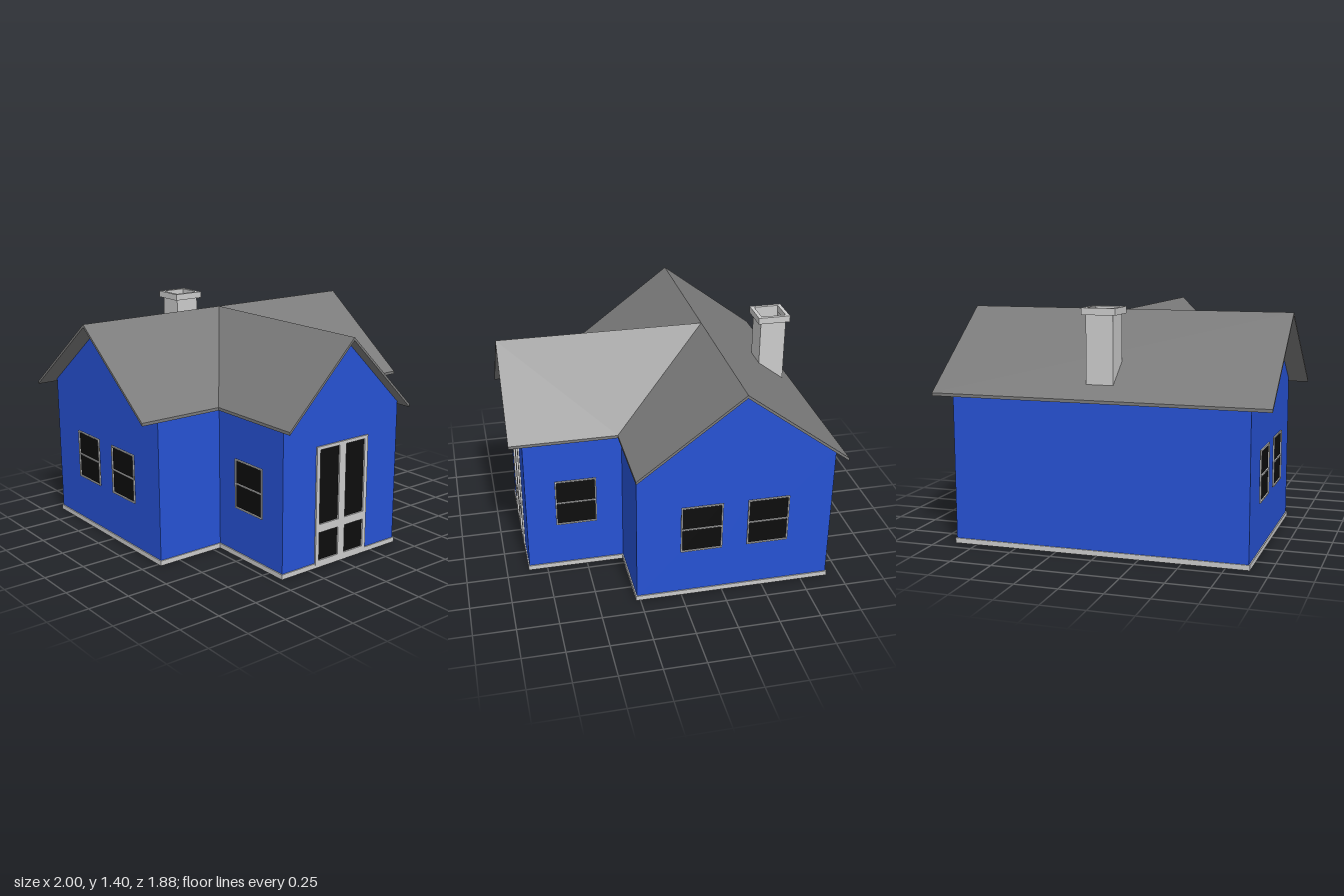
import * as THREE from 'three';

const paint = (color, side = THREE.FrontSide) =>
  new THREE.MeshStandardMaterial({ color, side, flatShading: true });

const RIDGE_Y = 1.365, RIDGE_Z = -0.322, EAVE_Z = 0.295, WING_EAVE_X = 0.467;
const HALF_W = 0.88, WING_W = 0.445, FRONT_Z = 0.27, BACK_Z = -0.91, WING_Z = 0.86;
const ROOF_T = 0.018, FLOOR_Y = 0.01;

// Roof heights
const mainRoof = (x, z) => RIDGE_Y - 0.754 * Math.abs(z - RIDGE_Z);
const wingRoof = (x) => RIDGE_Y - 0.996 * Math.abs(x);

const poly = (pts, Type = THREE.Shape) => new Type(pts.map(([x, y]) => new THREE.Vector2(x, y)));
const rect = (x0, y0, x1, y1) => [[x0, y0], [x1, y0], [x1, y1], [x0, y1]];

function shapeWithHoles(outline, holes = []) {
  const s = poly(outline);
  holes.forEach((h) => s.holes.push(poly(h, THREE.Path)));
  return s;
}

const extrude = (shape, depth) =>
  new THREE.ExtrudeGeometry(shape, { depth, bevelEnabled: false });

// Extrude a plan outline given as [x, z] upward
function extrudePlan(outline, holes, height) {
  const flip = (pts) => pts.map(([x, z]) => [x, -z]);
  return extrude(shapeWithHoles(flip(outline), holes.map(flip)), height).rotateX(-Math.PI / 2);
}

export function createModel() {
  const house = new THREE.Group();
  const blue = paint(0x2652d4, THREE.DoubleSide);
  const slate = paint(0x7a7a7a, THREE.DoubleSide);
  const grey = paint(0xcccccc, THREE.DoubleSide);
  const black = paint(0x0d0d0d, THREE.DoubleSide);

  const add = (name, geometry, material, parent = house) => {
    const mesh = new THREE.Mesh(geometry, material);
    mesh.name = name;
    parent.add(mesh);
    return mesh;
  };

  // Window openings: [z centre], all share one size
  const winW = 0.25, winY0 = 0.31, winY1 = 0.615, bar = 0.008;
  const opening = (z) => rect(-z - winW / 2, winY0, -z + winW / 2, winY1);

  function addWindow(side, wallX, z) {
    const g = new THREE.Group();
    g.name = 'window';
    const h = winW / 2, mid = (winY0 + winY1) / 2;
    const frame = shapeWithHoles(rect(-h, winY0, h, winY1), [
      rect(-h + bar, winY0 + bar, h - bar, mid - bar / 2),
      rect(-h + bar, mid + bar / 2, h - bar, winY1 - bar),
    ]);
    add('windowFrame', extrude(frame, 0.008), grey, g).position.z = 0.001;
    add('windowGlass', new THREE.ShapeGeometry(poly(rect(-h, winY0, h, winY1))), black, g);
    g.position.set(side * wallX, 0, z);
    g.rotation.y = side * Math.PI / 2;
    house.add(g);
  }

  const eaveY = mainRoof(0, FRONT_Z) - ROOF_T;
  const wingEaveY = wingRoof(WING_W) - ROOF_T;
  const peakY = RIDGE_Y - ROOF_T;
  const mainWindows = [-0.118, -0.52], wingWindow = 0.555;

  for (const side of [1, -1]) {
    // Gable end of the main block, drawn along -z
    const gable = shapeWithHoles([
      [-FRONT_Z, FLOOR_Y], [-BACK_Z, FLOOR_Y],
      [-BACK_Z, mainRoof(0, BACK_Z) - ROOF_T], [-RIDGE_Z, peakY], [-FRONT_Z, eaveY],
    ], mainWindows.map(opening));
    const end = add('gableWall', new THREE.ShapeGeometry(gable), blue);
    end.rotation.y = Math.PI / 2;
    end.position.x = side * HALF_W;
    mainWindows.forEach((z) => addWindow(side, HALF_W, z));

    // Side wall of the entrance wing
    const wingSide = shapeWithHoles(rect(-WING_Z, FLOOR_Y, -FRONT_Z, wingEaveY), [opening(wingWindow)]);
    const wall = add('wingSideWall', new THREE.ShapeGeometry(wingSide), blue);
    wall.rotation.y = Math.PI / 2;
    wall.position.x = side * WING_W;
    addWindow(side, WING_W, wingWindow);

    // Front wall beside the wing
    const strip = rect(Math.min(side * WING_W, side * HALF_W), FLOOR_Y,
      Math.max(side * WING_W, side * HALF_W), eaveY);
    add('frontWall', new THREE.ShapeGeometry(poly(strip)), blue).position.z = FRONT_Z;
  }

  // Back wall
  const back = poly(rect(-HALF_W, FLOOR_Y, HALF_W, mainRoof(0, BACK_Z) - ROOF_T));
  add('backWall', new THREE.ShapeGeometry(back), blue).position.z = BACK_Z;

  // Front gable of the wing with the doorway
  const doorW = 0.2, doorY0 = 0.02, doorY1 = 0.745;
  const frontGable = shapeWithHoles([
    [-WING_W, FLOOR_Y], [WING_W, FLOOR_Y], [WING_W, wingEaveY], [0, peakY], [-WING_W, wingEaveY],
  ], [rect(-doorW, doorY0, doorW, doorY1)]);
  add('wingFrontWall', new THREE.ShapeGeometry(frontGable), blue).position.z = WING_Z;

  // Double door: two leaves with a tall and a short pane each
  for (const x of [-doorW, 0]) {
    const leaf = new THREE.Group();
    leaf.name = 'doorLeaf';
    const panes = [
      rect(0.025, 0.045, doorW - 0.025, 0.22),
      rect(0.025, 0.27, doorW - 0.025, 0.725),
    ];
    add('doorFrame', extrude(shapeWithHoles(rect(0, doorY0, doorW, doorY1), panes), 0.02), grey, leaf);
    panes.forEach((p) => {
      add('doorGlass', new THREE.ShapeGeometry(poly(p)), black, leaf).position.z = 0.01;
    });
    leaf.position.set(x, 0, 0.85);
    house.add(leaf);
  }

  // Base trim following the T-shaped plan
  const plan = (o) => [
    [-HALF_W - o, BACK_Z - o], [HALF_W + o, BACK_Z - o], [HALF_W + o, FRONT_Z + o],
    [WING_W + o, FRONT_Z + o], [WING_W + o, WING_Z + o], [-WING_W - o, WING_Z + o],
    [-WING_W - o, FRONT_Z + o], [-HALF_W - o, FRONT_Z + o],
  ];
  add('baseTrim', extrudePlan(plan(0.007), [plan(-0.007)], 0.03), grey);

  // Roof panels: plan outlines lifted onto the slopes
  function roofPanel(name, outline, height) {
    const geo = extrudePlan(outline, [], ROOF_T);
    const p = geo.attributes.position;
    for (let i = 0; i < p.count; i++) {
      p.setY(i, p.getY(i) - ROOF_T + height(p.getX(i), p.getZ(i)));
    }
    geo.computeVertexNormals();
    add(name, geo, slate);
  }
  roofPanel('backRoof', rect(-1, -0.94, 1, RIDGE_Z), mainRoof);
  for (const s of [1, -1]) {
    roofPanel('frontRoof',
      [[0, RIDGE_Z], [s, RIDGE_Z], [s, EAVE_Z], [s * WING_EAVE_X, EAVE_Z]], mainRoof);
    roofPanel('wingRoof',
      [[0, RIDGE_Z], [s * WING_EAVE_X, EAVE_Z], [s * WING_EAVE_X, 0.94], [0, 0.94]], wingRoof);
  }

  // Chimney: open square shaft cut to the roof slope, with a ring cap
  const chimney = new THREE.Group();
  chimney.name = 'chimney';
  const cz = -0.762, half = 0.08, capY = 1.365;
  const shaft = new THREE.CylinderGeometry(half * Math.SQRT2, half * Math.SQRT2, 1, 4, 1, true)
    .rotateY(Math.PI / 4);
  const sp = shaft.attributes.position;
  for (let i = 0; i < sp.count; i++) {
    sp.setY(i, sp.getY(i) > 0 ? capY + 0.02 : mainRoof(0, sp.getZ(i) + cz) - 0.005);
  }
  add('chimneyShaft', shaft, grey, chimney);
  const cap = extrudePlan(rect(-0.1, -0.1, 0.1, 0.1), [rect(-0.077, -0.077, 0.077, 0.077)], 0.04);
  add('chimneyCap', cap, grey, chimney).position.y = capY;
  chimney.position.z = cz;
  house.add(chimney);

  return house;
}
